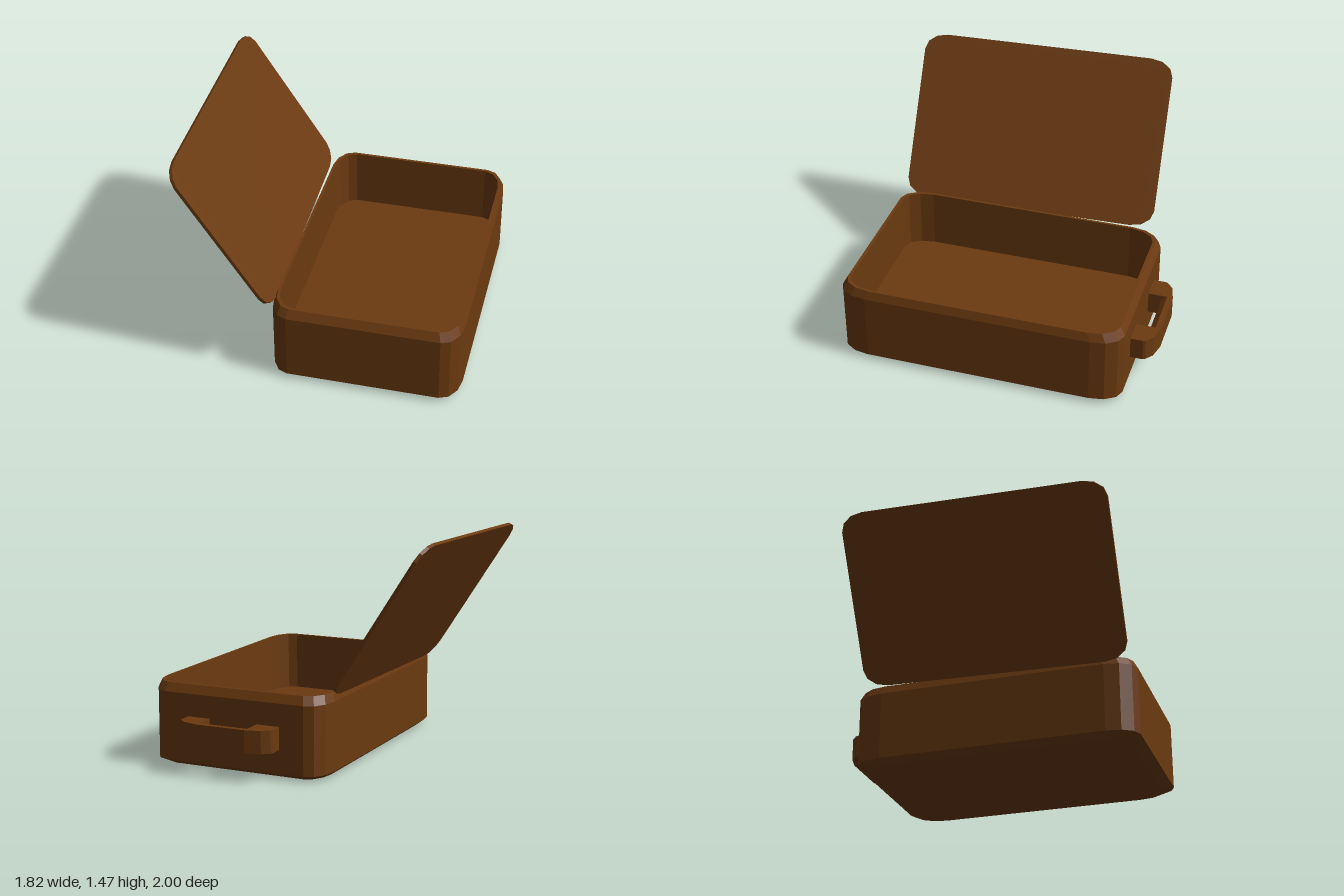
import * as THREE from 'three';

const leather = new THREE.MeshStandardMaterial({ color: 0x6b3a10, flatShading: true, side: THREE.DoubleSide });

// Rounded rectangle outline with elliptical three-facet corners
function roundedRing(hx, hy, rx, ry) {
  const pts = [];
  [[1, 1], [-1, 1], [-1, -1], [1, -1]].forEach(([sx, sy], q) => {
    for (let i = 0; i <= 3; i++) {
      const a = (q + i / 3) * Math.PI / 2;
      pts.push(new THREE.Vector2(sx * (hx - rx) + rx * Math.cos(a), sy * (hy - ry) + ry * Math.sin(a)));
    }
  });
  return pts;
}

function addMesh(parent, name, geometry) {
  const mesh = new THREE.Mesh(geometry, leather);
  mesh.name = name;
  parent.add(mesh);
  return mesh;
}

// Skin a stack of rings, each given as [y, x inset, z inset]
function trayGeometry(hx, hz, rx, rz, profile) {
  const pos = [], index = [];
  for (const [y, ix, iz] of profile) {
    const kx = (hx - ix) / hx, kz = (hz - iz) / hz;
    for (const p of roundedRing(hx - ix, hz - iz, rx * kx, rz * kz)) pos.push(p.x, y, p.y);
  }
  const n = 16;
  for (let k = 0; k < profile.length - 1; k++) {
    for (let i = 0; i < n; i++) {
      const a = k * n + i, b = k * n + (i + 1) % n, c = a + n, d = b + n;
      if (k > 0) index.push(a, c, b);
      if (k < profile.length - 2) index.push(b, c, d);
      else if (k === 0) index.push(a, c, b);
    }
  }
  const g = new THREE.BufferGeometry();
  g.setAttribute('position', new THREE.Float32BufferAttribute(pos, 3));
  g.setIndex(index);
  const flat = g.toNonIndexed();
  flat.computeVertexNormals();
  return flat;
}

export function createModel() {
  const model = new THREE.Group();
  model.name = 'openCase';

  // Hollow case: underside, bevelled walls, rim, inner walls and floor
  const hx = 0.6025, hz = 0.92;
  const tray = addMesh(model, 'caseBody', trayGeometry(hx, hz, 0.12, 0.19, [
    [0, hx, hz], [0, 0.045, 0.065], [0.035, 0, 0], [0.475, 0, 0],
    [0.53, 0.018, 0.03], [0.53, 0.035, 0.05], [0.14, 0.04, 0.05], [0.14, hx, hz],
  ]));
  tray.position.set(0.2975, 0, 0.08);

  // Thin lid leaning outward, slightly askew on its hinge side
  const lid = new THREE.Group();
  lid.name = 'lid';
  const up = new THREE.Vector3(-0.536, 0.844, 0).normalize();
  const along = new THREE.Vector3(0, 0, 1);
  const normal = along.clone().cross(up);
  lid.quaternion.setFromRotationMatrix(new THREE.Matrix4().makeBasis(along, up, normal));
  lid.position.set(-0.601, 0.978, 0.127);
  const panelGeo = new THREE.ExtrudeGeometry(
    new THREE.Shape(roundedRing(0.86, 0.555, 0.15, 0.11)), { depth: 0.022, bevelEnabled: false });
  panelGeo.translate(0, 0, -0.011);
  addMesh(lid, 'lidPanel', panelGeo).rotation.z = -0.025;
  model.add(lid);

  // Carrying handle on the rear wall: two curved legs and a grip
  const handle = new THREE.Group();
  handle.name = 'handle';
  handle.position.set(0.2975, 0.185, 0);
  const height = 0.145;
  for (const s of [-1, 1]) {
    const outline = [[0.165, 0.82], [0.318, 0.82], [0.318, 0.92], [0.312, 0.935], [0.265, 0.975], [0.165, 1]]
      .map(([x, z]) => new THREE.Vector2(s * x, z));
    const leg = new THREE.ExtrudeGeometry(new THREE.Shape(outline), { depth: height, bevelEnabled: false });
    leg.rotateX(-Math.PI / 2);
    addMesh(handle, s > 0 ? 'leftHandleLeg' : 'rightHandleLeg', leg);
  }
  // Grip section, chamfered on the side facing the case
  const section = [[1, 0], [1, height], [0.963, height], [0.925, height - 0.035], [0.925, 0.035], [0.963, 0]]
    .map(([z, y]) => new THREE.Vector2(z, y));
  const grip = new THREE.ExtrudeGeometry(new THREE.Shape(section), { depth: 0.33, bevelEnabled: false });
  grip.translate(0, 0, -0.165);
  grip.rotateY(Math.PI / 2);
  addMesh(handle, 'handleGrip', grip);
  model.add(handle);

  return model;
}
